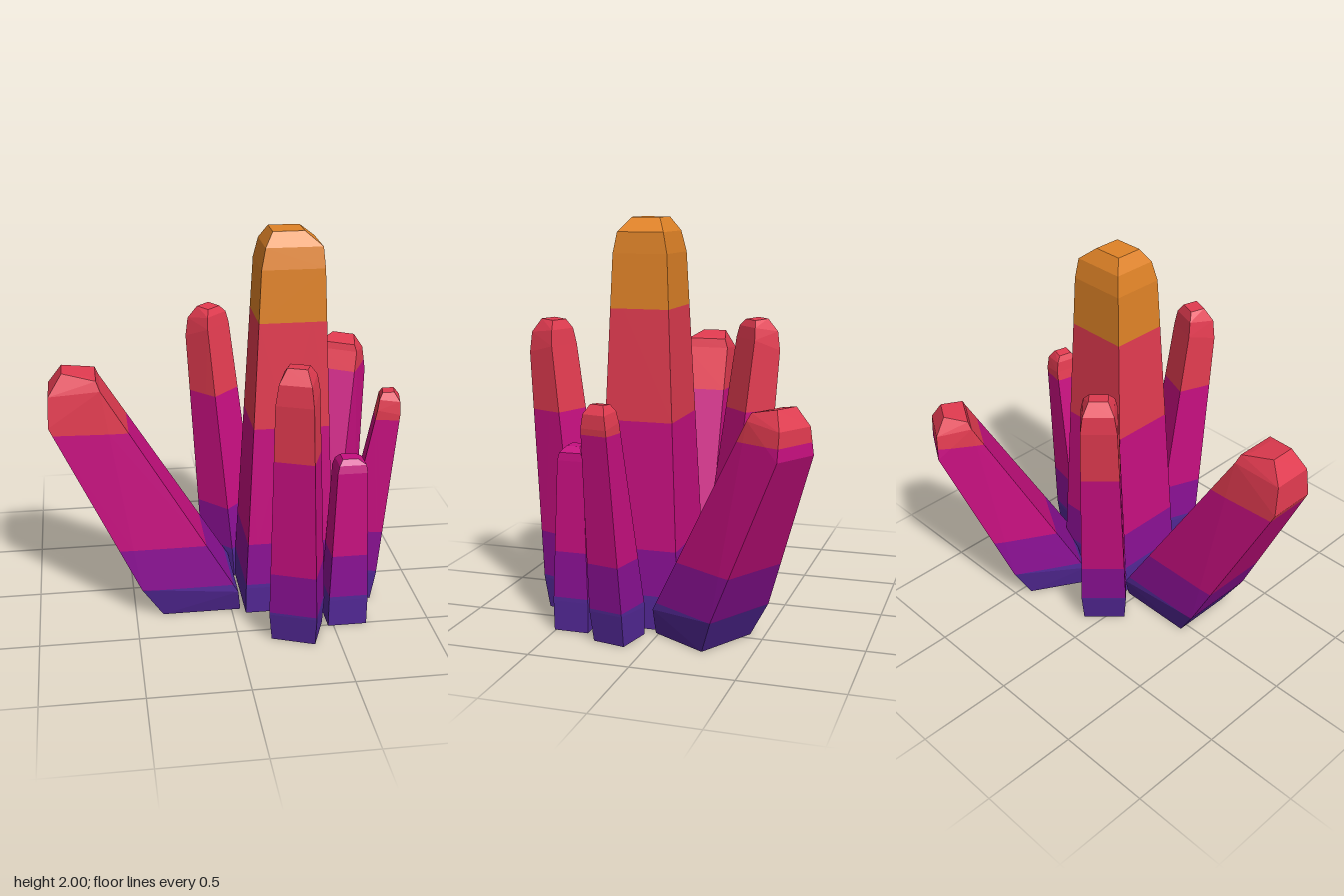
import * as THREE from 'three';

// Colour bands by height, from the ground up
const material = (name, color) => {
  const m = new THREE.MeshStandardMaterial({ color });
  m.name = name;
  return m;
};
const BANDS = [
  { top: 0.17, mat: material('indigo', 0x532896) },
  { top: 0.4, mat: material('purple', 0x8a1093) },
  { top: 1.03, mat: material('magenta', 0xc60f7f) },
  { top: 1.57, mat: material('coral red', 0xe23b50) },
  { top: 9, mat: material('amber', 0xe08327) },
];

// Rings of a crystal from base to tip, each [inner r, inner y, outer r, outer y, half width].
// r runs along the lean; foot is [half depth, half width]; inner and outer are shoulder [r, y]
function crystalRings({ foot: [R, W], inner: [ir, iy], outer: [or, oy], width, height }) {
  const lean = (ir + or) / 2, span = or - ir;
  const rise = (y) => y + (height - y) * 0.6;
  return [
    [-R - 0.03 * lean, 0, R - 0.2 * lean, 0, W * (0.97 - 0.3 * lean)],
    [-R, 0.15 - 0.04 * lean, R, 0.15 + 0.05 * lean, W],
    [ir, iy, or, oy, width],
    [ir + 0.07 * span, rise(iy), or - 0.03 * span, rise(oy), width * 0.85],
    [ir + 0.2 * span, height - 0.04 * lean, or - 0.3 * span, height, width * 0.52],
  ];
}

// Four corners of a ring, clockwise from above; yaw in degrees from +x towards +z
function ringCorners([inR, inY, outR, outY, w], [x, z], yaw) {
  const a = THREE.MathUtils.degToRad(yaw), c = Math.cos(a), s = Math.sin(a);
  return [[inR, inY, -w], [outR, outY, -w], [outR, outY, w], [inR, inY, w]]
    .map(([r, y, t]) => new THREE.Vector3(x + r * c - t * s, y, z + r * s + t * c));
}

// Split a four-cornered face along the diagonal that bulges outwards
function splitFace(a, b, c, d) {
  const normal = b.clone().sub(a).cross(c.clone().sub(a));
  return d.clone().sub(a).dot(normal) <= 1e-9 ? [[a, b, c], [a, c, d]] : [[a, b, d], [b, c, d]];
}

// Keep the part of a polygon above (sign 1) or below (sign -1) a height
function clip(poly, height, sign) {
  const out = [];
  poly.forEach((p, i) => {
    const q = poly[(i + 1) % poly.length];
    const dp = (p.y - height) * sign, dq = (q.y - height) * sign;
    if (dp >= 0) out.push(p);
    if (dp * dq < 0) out.push(p.clone().lerp(q, dp / (dp - dq)));
  });
  return out;
}

function makeCrystal(name, at, yaw, size) {
  const loops = crystalRings(size).map((r) => ringCorners(r, at, yaw));
  const first = loops[0], last = loops[loops.length - 1];
  const faces = [...splitFace(...first), ...splitFace(...last.slice().reverse())];
  for (let k = 0; k + 1 < loops.length; k++) {
    for (let i = 0; i < 4; i++) {
      const j = (i + 1) % 4;
      faces.push(...splitFace(loops[k][i], loops[k + 1][i], loops[k + 1][j], loops[k][j]));
    }
  }

  // Cut every face at the band heights, one material group per band
  const positions = [], geometry = new THREE.BufferGeometry();
  BANDS.forEach((band, b) => {
    const start = positions.length / 3;
    const bottom = b ? BANDS[b - 1].top : -1;
    for (const face of faces) {
      const poly = clip(clip(face, bottom, 1), band.top, -1);
      for (let i = 1; i + 1 < poly.length; i++) {
        for (const p of [poly[0], poly[i], poly[i + 1]]) positions.push(p.x, p.y, p.z);
      }
    }
    const count = positions.length / 3 - start;
    if (count) geometry.addGroup(start, count, b);
  });
  geometry.setAttribute('position', new THREE.Float32BufferAttribute(positions, 3));
  geometry.computeVertexNormals(); // unshared corners give flat facets
  const mesh = new THREE.Mesh(geometry, BANDS.map((band) => band.mat));
  mesh.name = name;
  return mesh;
}

export function createModel() {
  const group = new THREE.Group();
  group.name = 'crystalCluster';
  group.add(
    // Tall upright crystal in the middle
    makeCrystal('centralCrystal', [0.3, 0.127], 0,
      { foot: [0.23, 0.207], inner: [-0.158, 1.83], outer: [0.152, 1.83], width: 0.136, height: 2 }),
    // Two large crystals leaning outwards
    makeCrystal('largeRightCrystal', [-0.22, 0.12], 180,
      { foot: [0.25, 0.205], inner: [0.42, 1.25], outer: [0.68, 1.07], width: 0.125, height: 1.33 }),
    makeCrystal('largeBackCrystal', [0.535, -0.25], -60,
      { foot: [0.2, 0.195], inner: [0.35, 1.13], outer: [0.535, 0.97], width: 0.12, height: 1.19 }),
    // Slim crystals around the foot
    makeCrystal('slimBackCrystal', [0.06, -0.22], -135,
      { foot: [0.11, 0.12], inner: [0.08, 1.39], outer: [0.23, 1.33], width: 0.09, height: 1.49 }),
    makeCrystal('slimFrontCrystal', [0.3, 0.54], 111,
      { foot: [0.118, 0.12], inner: [0.06, 1.36], outer: [0.215, 1.32], width: 0.09, height: 1.49 }),
    makeCrystal('slimLeftCrystal', [0.69, 0.17], 12,
      { foot: [0.105, 0.09], inner: [0.07, 1.08], outer: [0.185, 1.06], width: 0.068, height: 1.17 }),
    makeCrystal('smallFrontCrystal', [0.572, 0.42], 0,
      { foot: [0.1, 0.09], inner: [-0.075, 0.85], outer: [0.075, 0.85], width: 0.066, height: 0.915 }),
  );
  return group;
}
